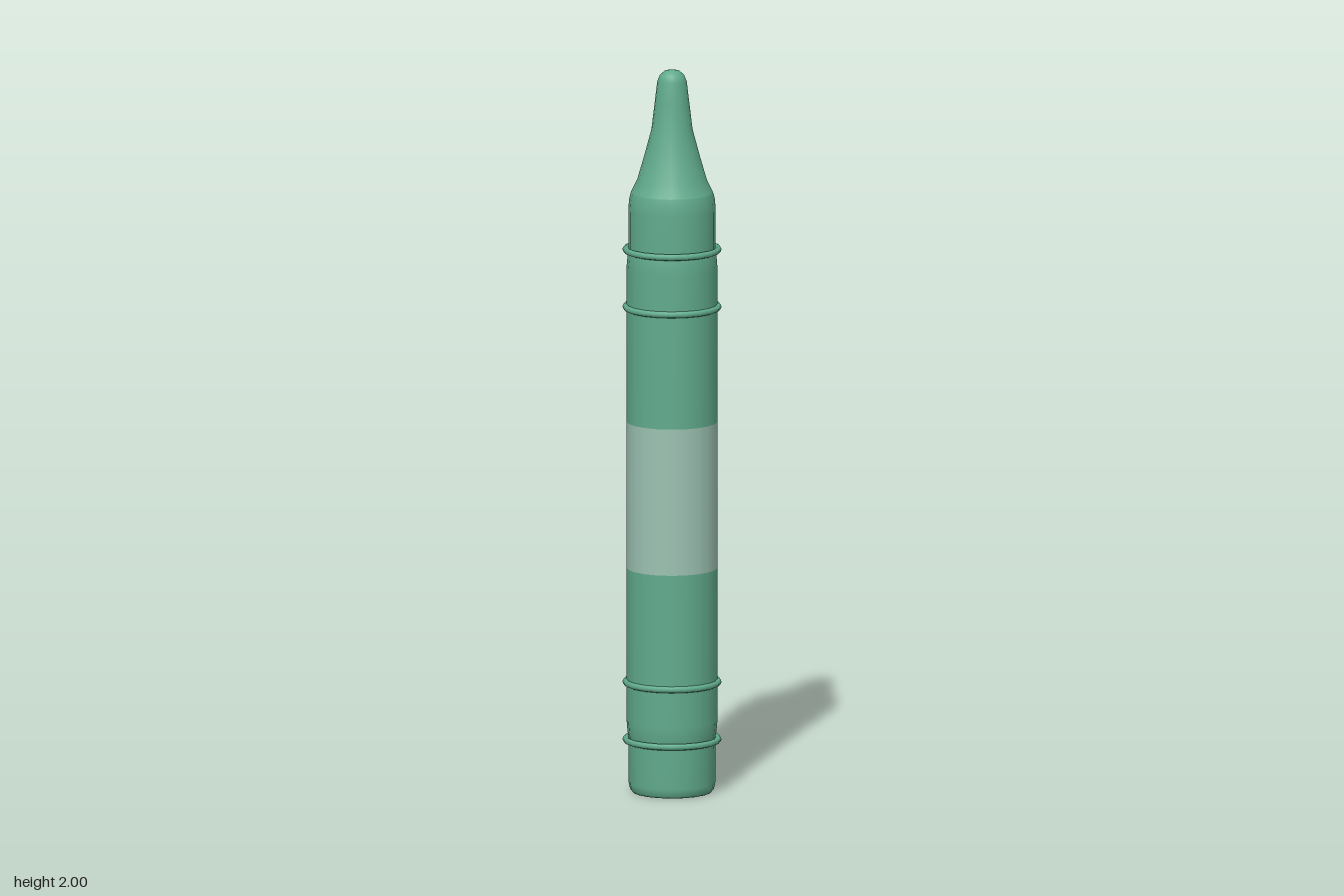
import * as THREE from 'three';

const SIDES = 20;

export function createModel() {
  const crayon = new THREE.Group();
  crayon.name = 'crayon';

  const green = new THREE.MeshStandardMaterial({ color: 0x61ab8d });
  green.name = 'green';
  const paleGreen = new THREE.MeshStandardMaterial({ color: 0x9cc2b2 });
  paleGreen.name = 'pale green';

  const add = (name, geometry, material, y = 0) => {
    const mesh = new THREE.Mesh(geometry, material);
    mesh.name = name;
    mesh.position.y = y;
    crayon.add(mesh);
    return mesh;
  };
  // Profiles run upwards as [radius, height]
  const lathe = (profile) =>
    new THREE.LatheGeometry(profile.map(([r, y]) => new THREE.Vector2(r, y)), SIDES);

  // Wax stick: rounded foot and the shoulder under the tip
  add('waxFoot', lathe([[0, 0], [0.108, 0], [0.114, 0.007], [0.118, 0.025], [0.119, 0.15]]), green);
  add('waxShoulder', lathe([[0.119, 1.49], [0.119, 1.61], [0.117, 1.64], [0.112, 1.66]]), green);

  // Flared tip with a domed end
  add('tip', lathe([
    [0.112, 1.66], [0.095, 1.695], [0.076, 1.76], [0.056, 1.835], [0.047, 1.91],
    [0.04, 1.968], [0.033, 1.985], [0.02, 1.996], [0, 2],
  ]), green);

  // Paper wrapper in three lengths, the middle one pale
  add('lowerWrapper', lathe([[0.117, 0.145], [0.121, 0.165], [0.124, 0.2], [0.124, 0.62]]), green);
  add('labelBand', lathe([[0.124, 0.62], [0.124, 1.025]]), paleGreen);
  add('upperWrapper', lathe([[0.124, 1.025], [0.124, 1.45], [0.121, 1.485], [0.117, 1.505]]), green);

  // Raised rings, in pairs near each end
  for (const y of [0.145, 0.304, 1.343, 1.502]) {
    const ring = new THREE.TorusGeometry(0.126, 0.009, 8, SIDES);
    ring.rotateX(Math.PI / 2);
    add('ring', ring, green, y);
  }

  return crayon;
}
